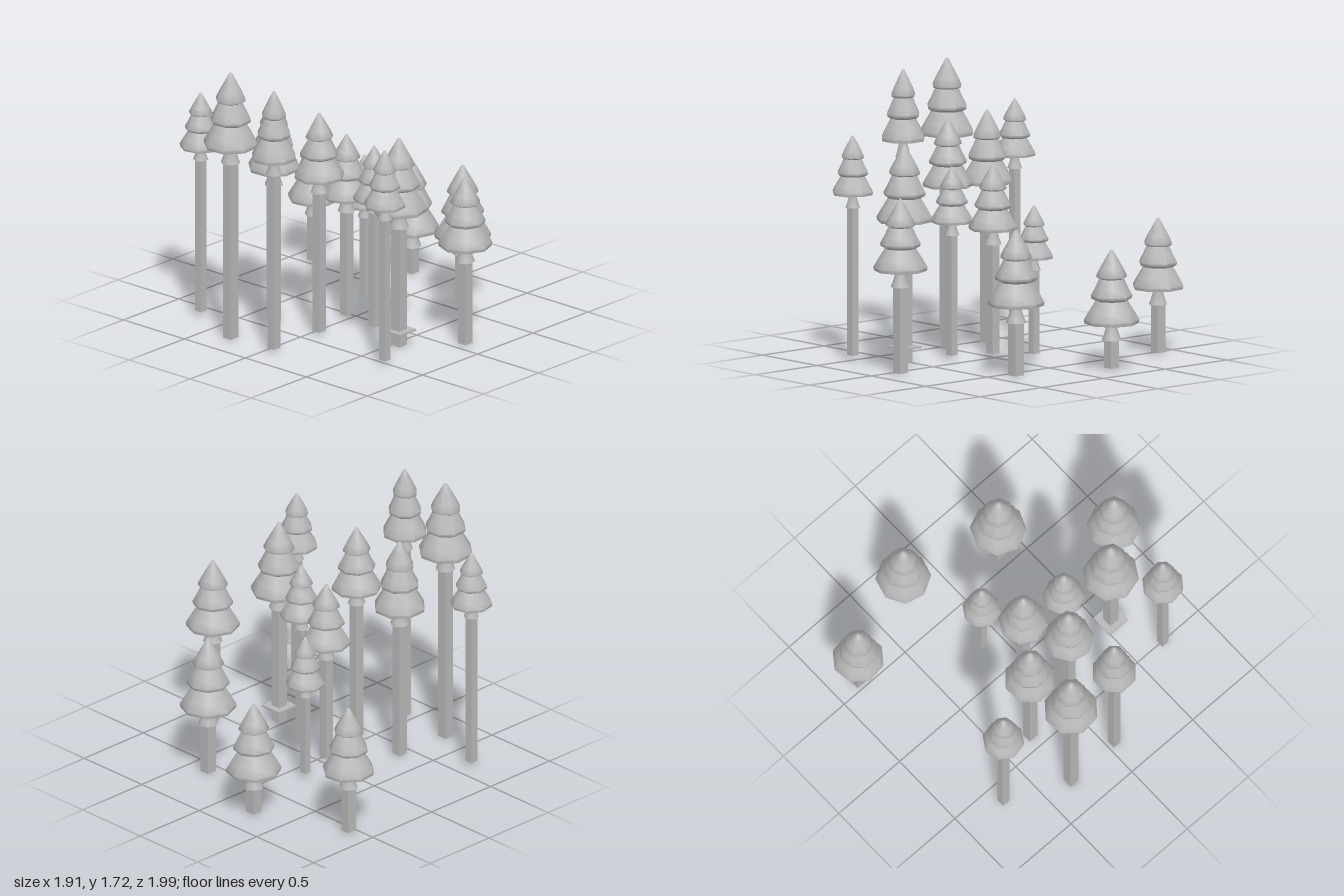
import * as THREE from 'three';
import { toCreasedNormals } from 'three/addons/utils/BufferGeometryUtils.js';

// Each tree: x, z, foliage radius, tip height, skirt bottom height, trunk foot height, turn in degrees
const TREES = [
  [-0.62, -0.71, 0.13, 1.44, 1.01, 0.03, 10],
  [0.55, -0.84, 0.162, 0.84, 0.305, 0.01, 15],
  [-0.79, -0.31, 0.17, 1.715, 1.135, 0.0, 17],
  [-0.41, -0.30, 0.162, 1.445, 0.89, 0.01, 20],
  [-0.79, 0.045, 0.14, 1.685, 1.145, 0.02, 20],
  [-0.38, 0.045, 0.155, 1.43, 0.92, 0.02, -10],
  [-0.05, -0.03, 0.152, 1.185, 0.69, 0.02, 5],
  [0.22, -0.125, 0.12, 0.955, 0.555, 0.04, 10],
  [-0.11, 0.25, 0.13, 1.195, 0.77, 0.03, 0],
  [0.587, 0.345, 0.174, 0.905, 0.33, 0.005, 0],
  [0.785, -0.255, 0.17, 0.74, 0.18, 0.01, -7],
  [-0.21, 0.545, 0.175, 1.345, 0.77, 0.005, 8],
  [-0.51, 0.70, 0.13, 1.385, 0.94, 0.03, 15],
  [0.075, 0.83, 0.166, 1.085, 0.54, 0.01, 0],
];

// Foliage outline from the skirt bottom up to the tip: radius, depth below the tip (radius 1, depth 3.35)
const PROFILE = [
  [0, 3.35], [0.36, 3.35], [0.3, 3.2], [0.22, 2.95], [0.18, 2.72],
  [0.97, 2.73], [1, 2.6], [0.82, 2.28], [0.66, 2.02], [0.58, 1.88],
  [0.73, 1.8], [0.75, 1.7], [0.6, 1.42], [0.5, 1.2], [0.44, 1.08],
  [0.54, 1.03], [0.55, 0.95], [0.43, 0.7], [0.24, 0.36], [0.05, 0.02], [0, 0],
].map(([r, d]) => new THREE.Vector2(r, -d / 3.35));

export function createModel() {
  const grey = new THREE.MeshStandardMaterial({ color: 0xb8b8b8 });
  grey.name = 'plainGrey';
  const group = new THREE.Group();
  group.name = 'pineGrove';

  const foliageGeo = new THREE.LatheGeometry(PROFILE, 8);
  const boxGeo = new THREE.BoxGeometry(1, 1, 1);

  const add = (parent, name, geo, position, scale) => {
    const mesh = new THREE.Mesh(geo, grey);
    mesh.name = name;
    mesh.position.set(...position);
    mesh.scale.set(...scale);
    parent.add(mesh);
    return mesh;
  };

  for (const [x, z, r, tip, skirt, foot, turn] of TREES) {
    const tree = new THREE.Group();
    tree.name = 'pineTree';
    tree.position.set(x, 0, z);

    // Tiered eight-sided foliage, soft across its sides and sharp at the lips
    const h = tip - skirt;
    const geo = foliageGeo.clone().scale(r, h, r).rotateY(-turn * Math.PI / 180);
    add(tree, 'foliage', toCreasedNormals(geo, 0.95), [0, tip, 0], [1, 1, 1]);

    // Square trunk, set slightly into the skirt
    const top = skirt + 0.01;
    add(tree, 'trunk', boxGeo, [0, (top + foot) / 2, 0], [0.385 * r, top - foot, 0.385 * r]);
    group.add(tree);
  }

  // Thin square plate around one trunk
  add(group, 'trunkPlate', boxGeo, [-0.21, 0.1, 0.545], [0.148, 0.012, 0.148]);
  return group;
}
